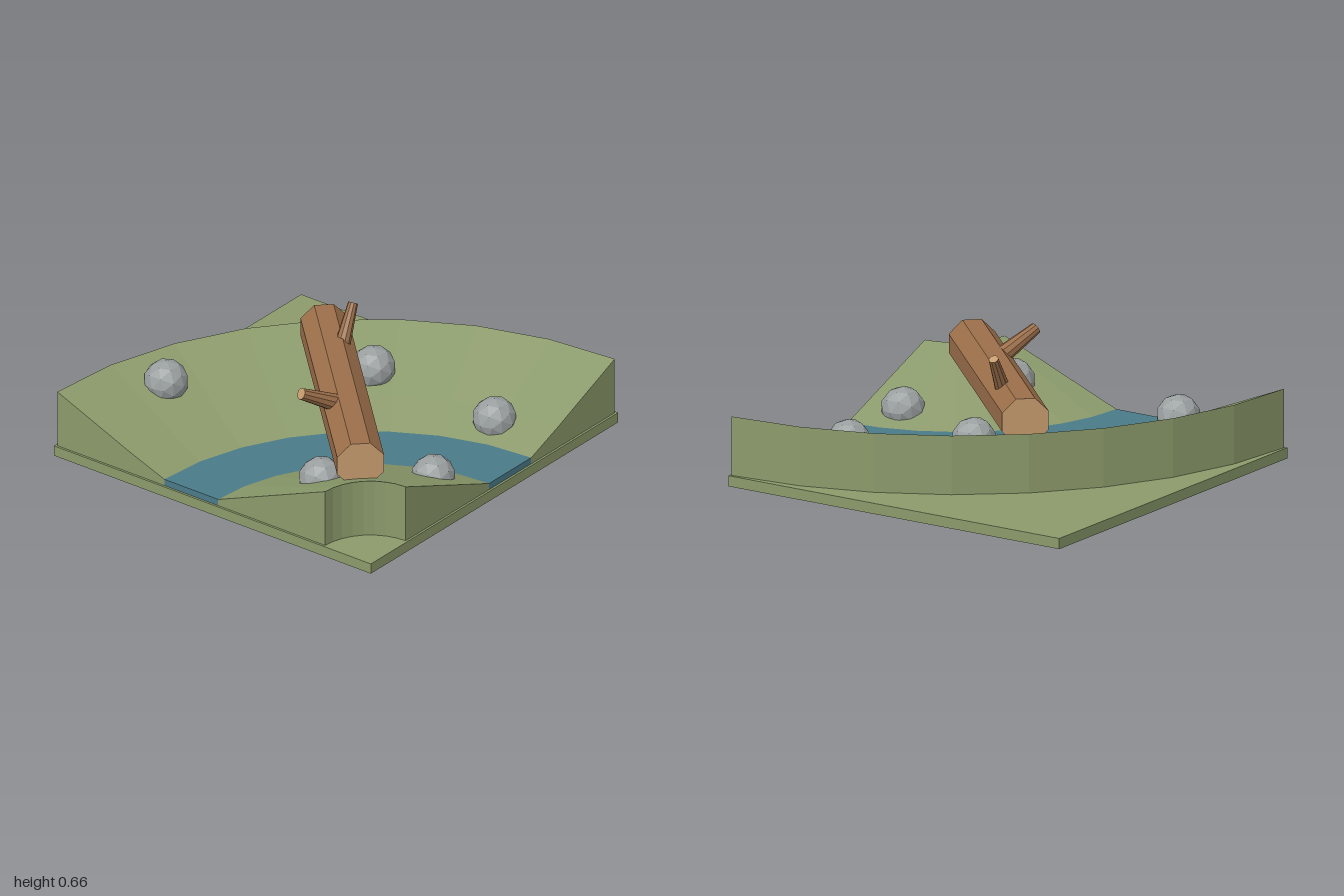
import * as THREE from 'three';

const mat = (color) => new THREE.MeshStandardMaterial({ color, flatShading: true, side: THREE.DoubleSide });
const GRASS = mat(0x8b9a6b), WATER = mat(0x4a7a88), BARK = mat(0x9c6f4a), CUT = mat(0xc49a6c), STONE = mat(0x9a9fa0);

// Quarter ring swept from a closed, counterclockwise (radius, height) profile
function quarterRing(name, profile, material) {
  const pts = profile.map(([r, y]) => new THREE.Vector2(r, y));
  const group = new THREE.Group();
  group.name = name;
  const sweep = new THREE.Mesh(new THREE.LatheGeometry([...pts, pts[0]], 8, Math.PI / 2, Math.PI / 2), material);
  sweep.name = name + 'Surface';
  group.add(sweep);
  for (const [end, turn] of [['Front', 0], ['Side', Math.PI / 2]]) {
    const cap = new THREE.Mesh(new THREE.ShapeGeometry(new THREE.Shape(pts)), material);
    cap.name = name + end + 'Face';
    cap.rotation.y = turn;
    group.add(cap);
  }
  group.position.set(-0.988, 0, 0.988);
  return group;
}

// Wooden cylinder between two points, with lighter cut ends
function timber(name, from, to, rFrom, rTo, sides, twist = 0) {
  const a = new THREE.Vector3(...from), b = new THREE.Vector3(...to);
  const dir = b.clone().sub(a);
  const geo = new THREE.CylinderGeometry(rTo, rFrom, dir.length(), sides);
  // Lay the cylinder along z so that its twist is measured from vertical
  geo.rotateY(twist).rotateX(Math.PI / 2);
  const mesh = new THREE.Mesh(geo, [BARK, CUT, CUT]);
  mesh.name = name;
  mesh.position.copy(a).add(b).multiplyScalar(0.5);
  mesh.lookAt(b);
  return mesh;
}

export function createModel() {
  const model = new THREE.Group();
  model.name = 'riverBend';

  // Base plate
  const base = new THREE.Mesh(new THREE.BoxGeometry(2, 0.055, 2), GRASS);
  base.name = 'basePlate';
  base.position.y = 0.0275;
  model.add(base);

  // Sloping banks with the river between them
  const low = 0.054;
  model.add(
    quarterRing('innerBank', [[0.285, low], [0.96, low], [0.96, 0.09], [0.285, 0.36]], GRASS),
    quarterRing('river', [[0.96, low], [1.3, low], [1.3, 0.09], [0.96, 0.09]], WATER),
    quarterRing('outerBank', [[1.3, low], [1.975, low], [1.975, 0.36], [1.52, 0.173], [1.3, 0.09]], GRASS)
  );

  // Fallen log bridging the river, with two branch stubs
  model.add(
    timber('log', [-0.705, 0.393, 0.705], [0.325, 0.393, -0.33], 0.127, 0.127, 8, Math.PI / 8),
    timber('rightBranch', [-0.385, 0.47, 0.297], [-0.57, 0.575, 0.225], 0.046, 0.03, 10),
    timber('leftBranch', [0.115, 0.465, -0.05], [0.228, 0.65, -0.07], 0.04, 0.025, 10)
  );

  // Rocks half sunk in the banks
  const rocks = [
    [-0.47, 0.295, -0.705], [0.335, 0.255, -0.025], [-0.71, 0.235, 0.46],
    [0.43, 0.155, 0.665], [-0.225, 0.15, 0.79]
  ];
  rocks.forEach((p, i) => {
    const rock = new THREE.Mesh(new THREE.IcosahedronGeometry(0.113, 1), STONE);
    rock.name = 'rock' + (i + 1);
    rock.position.set(...p);
    model.add(rock);
  });

  return model;
}
